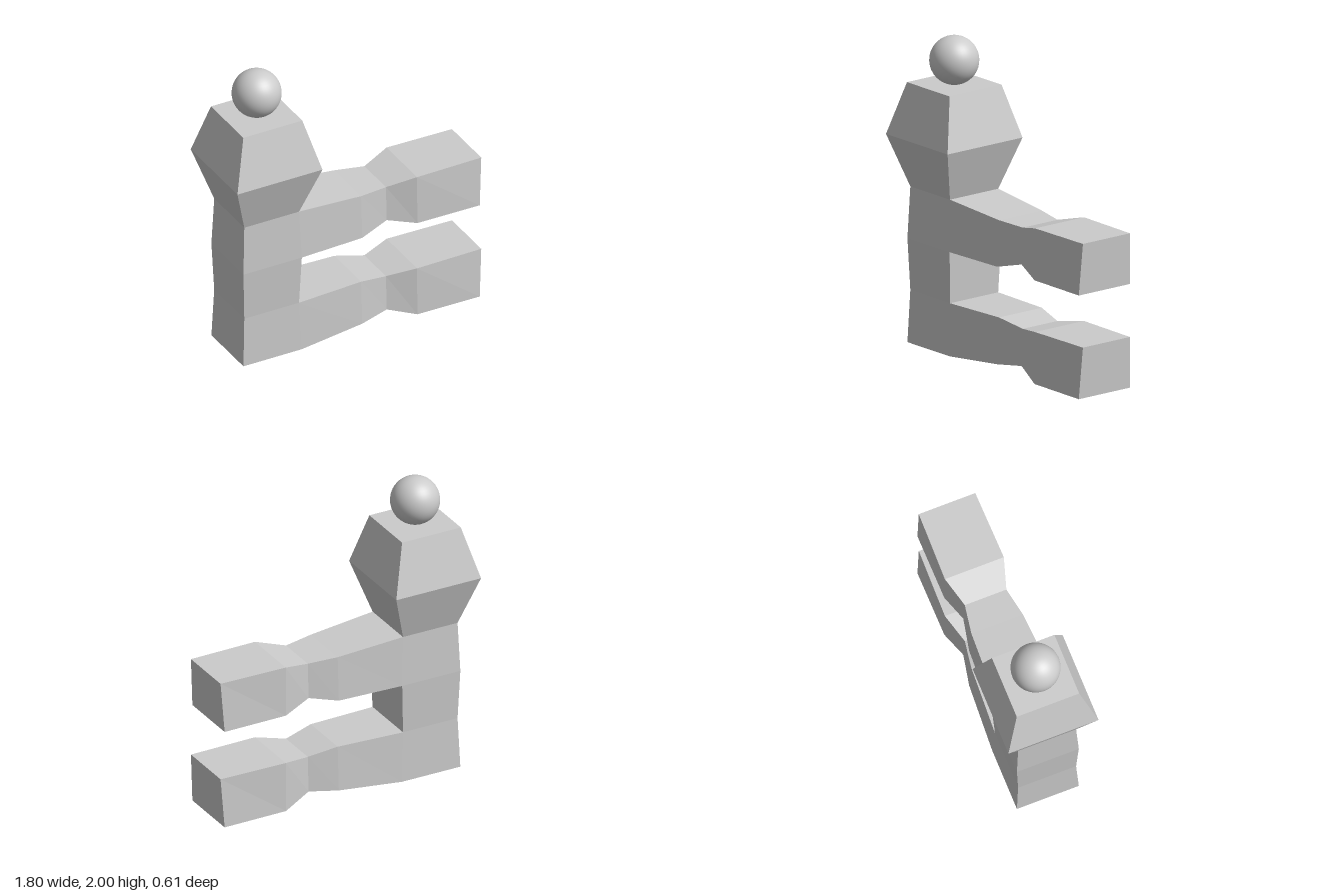
import * as THREE from 'three';

// Skins four-cornered rings (counter-clockwise seen from the far end) with flat faces
function loft(rings, capStart) {
  const pos = [];
  const quad = (a, b, c, d) => pos.push(...a, ...b, ...c, ...a, ...c, ...d);
  for (let r = 0; r + 1 < rings.length; r++) {
    const a = rings[r], b = rings[r + 1];
    for (let i = 0; i < 4; i++) {
      const j = (i + 1) % 4;
      quad(a[i], a[j], b[j], b[i]);
    }
  }
  quad(...rings[rings.length - 1]);
  if (capStart) quad(...[...rings[0]].reverse());
  const geo = new THREE.BufferGeometry();
  geo.setAttribute('position', new THREE.Float32BufferAttribute(pos, 3));
  geo.computeVertexNormals();
  return geo;
}

export function createModel() {
  const group = new THREE.Group();
  const flat = new THREE.MeshStandardMaterial({ color: 0xcccccc, flatShading: true });
  const smooth = new THREE.MeshStandardMaterial({ color: 0xcccccc });
  const add = (name, geo, mat) => {
    const mesh = new THREE.Mesh(geo, mat);
    mesh.name = name;
    group.add(mesh);
    return mesh;
  };
  const cx = -0.6;

  // Square column swelling into the chest: [y, half width]
  const column = [[0, 0.208], [0.34, 0.195], [0.677, 0.208], [1.013, 0.195], [1.35, 0.303], [1.69, 0.21]];
  add('body', loft(column.map(([y, h]) => [
    [cx + h, y, h], [cx + h, y, -h], [cx - h, y, -h], [cx - h, y, h],
  ]), true), flat);

  // Limbs: [bottom x, bottom y, bottom half depth, top x, top y, top half depth]
  const limb = (name, sections) => add(name, loft(sections.map(([xb, yb, hb, xt, yt, ht]) => [
    [xb, yb, hb], [xb, yb, -hb], [xt, yt, -ht], [xt, yt, ht],
  ]), false), flat);
  const hand = (y) => [
    [0.435, y, 0.202, 0.435, y + 0.337, 0.198],
    [0.877, y, 0.207, 0.897, y + 0.337, 0.19],
  ];
  limb('lowerLimb', [
    [-0.392, 0, 0.208, -0.405, 0.34, 0.195],
    [0.05, 0.043, 0.188, 0.05, 0.345, 0.173],
    [0.245, 0.068, 0.15, 0.245, 0.308, 0.14],
    ...hand(0.003),
  ]);
  limb('upperLimb', [
    [-0.392, 0.677, 0.208, -0.405, 1.013, 0.195],
    [0.05, 0.677, 0.188, 0.05, 0.977, 0.173],
    [0.245, 0.728, 0.15, 0.245, 0.966, 0.14],
    ...hand(0.677),
  ]);

  // Ball head
  add('head', new THREE.SphereGeometry(0.157, 40, 24), smooth).position.set(cx, 1.843, 0);

  return group;
}
